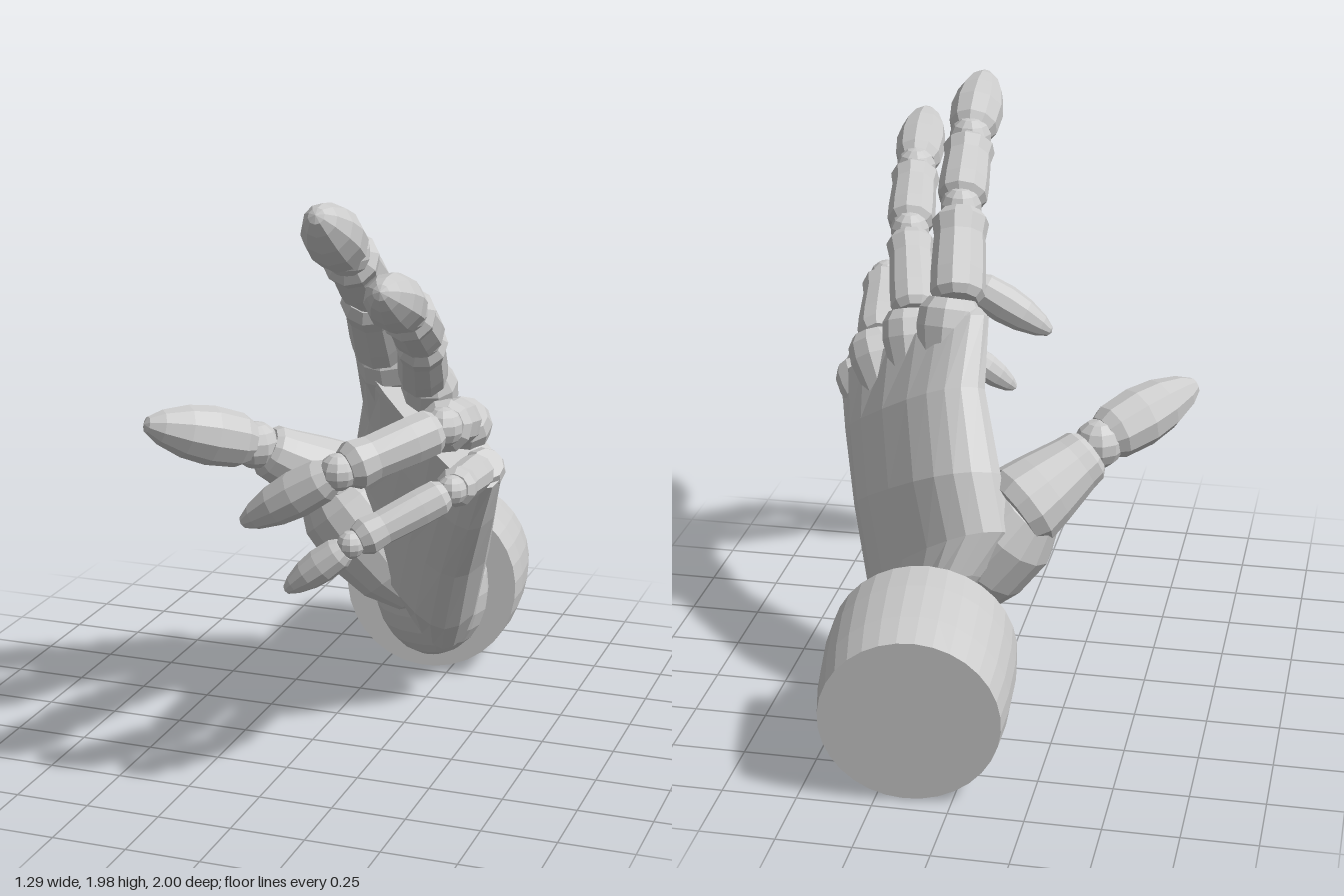
import * as THREE from 'three';

const material = new THREE.MeshStandardMaterial({ color: 0xcccccc, flatShading: true });
const vec = (p) => new THREE.Vector3(...p);

function addMesh(parent, name, geometry) {
  const faceted = geometry.index ? geometry.toNonIndexed() : geometry;
  faceted.computeVertexNormals();
  const mesh = new THREE.Mesh(faceted, material);
  mesh.name = name;
  parent.add(mesh);
  return mesh;
}

// Turned solid between two points; profile rows are [fraction of length, radius]
function addTurned(parent, name, from, to, profile, sides = 10, scale = 1) {
  const axis = to.clone().sub(from);
  const length = axis.length();
  const points = profile.map(([t, r]) => new THREE.Vector2(r * scale, t * length));
  const mesh = addMesh(parent, name, new THREE.LatheGeometry(points, sides));
  mesh.position.copy(from);
  mesh.quaternion.setFromUnitVectors(new THREE.Vector3(0, 1, 0), axis.normalize());
  return mesh;
}

function addBall(parent, name, center, rx, ry = rx, rz = rx, sides = 10) {
  const mesh = addMesh(parent, name, new THREE.SphereGeometry(1, sides, Math.ceil(sides * 0.7)));
  mesh.scale.set(rx, ry, rz);
  mesh.position.copy(center);
  return mesh;
}

const BONE = [[0, 0], [0, 0.72], [0.08, 0.95], [0.3, 0.96], [0.72, 0.9], [0.9, 1], [1, 0.74], [1, 0]];
const TIP = [[0, 0], [0, 0.72], [0.1, 0.92], [0.38, 1], [0.62, 0.88], [0.85, 0.58], [0.97, 0.28], [1, 0]];

// Directions across the hand: the palm side faces this way
const PALM_NORMAL = new THREE.Vector3(-0.645, -0.3, 0.7).normalize();

// Closed loft through cross-sections: thumb edge, little-finger edge, back and palm thickness
function palmGeometry(sections, sides = 20) {
  const positions = [];
  const index = [];
  for (const [a, b, back, front] of sections) {
    const mid = vec(a).add(vec(b)).multiplyScalar(0.5);
    const half = vec(b).sub(vec(a)).multiplyScalar(0.5);
    for (let j = 0; j < sides; j++) {
      const angle = (j / sides) * Math.PI * 2;
      const c = Math.cos(angle), s = Math.sin(angle);
      const u = Math.sign(c) * Math.abs(c) ** 0.8;
      const w = Math.sign(s) * Math.abs(s) ** 0.75 * (s < 0 ? back : front);
      positions.push(...mid.clone().addScaledVector(half, u).addScaledVector(PALM_NORMAL, w).toArray());
    }
  }
  const last = sections.length - 1;
  for (let i = 0; i < last; i++) {
    for (let j = 0; j < sides; j++) {
      const k = (j + 1) % sides;
      const a = i * sides + j, b = i * sides + k, c = a + sides, d = b + sides;
      index.push(a, c, b, b, c, d);
    }
  }
  // End caps
  const e = last * sides;
  for (let j = 1; j < sides - 1; j++) {
    index.push(0, j, j + 1, e, e + j + 1, e + j);
  }
  const geometry = new THREE.BufferGeometry();
  geometry.setAttribute('position', new THREE.Float32BufferAttribute(positions, 3));
  geometry.setIndex(index);
  return geometry;
}

// Finger: knuckle, tendon ridge, two bones, a tip and the joints between them
function addFinger(parent, { name, path, radii }) {
  const finger = new THREE.Group();
  finger.name = name;
  parent.add(finger);
  const joints = path.map(vec);

  const knuckle = joints[0].clone().addScaledVector(PALM_NORMAL, -0.025);
  const wristSide = new THREE.Vector3(0.24, 0.6, -0.26);
  const ridgeStart = knuckle.clone().lerp(wristSide, 0.6);
  addTurned(finger, 'knuckleRidge', ridgeStart, knuckle,
    [[0, 0], [0, 0.4], [0.5, 0.75], [0.85, 1.12], [0.98, 1.08], [1.06, 0.8], [1.06, 0]], 10, radii[0]);

  for (let i = 0; i < 3; i++) {
    const dir = joints[i + 1].clone().sub(joints[i]).normalize();
    const from = joints[i].clone().addScaledVector(dir, 0.025);
    const to = joints[i + 1].clone().addScaledVector(dir, i < 2 ? -0.025 : 0);
    const part = i < 2 ? ['upperBone', 'middleBone'][i] : 'fingertip';
    addTurned(finger, part, from, to, i < 2 ? BONE : TIP, 10, radii[i]);
    if (i > 0) addBall(finger, 'joint', joints[i], radii[i] * 0.8);
  }
}

export function createModel() {
  const hand = new THREE.Group();
  hand.name = 'hand';

  // Sleeve cuff and wrist
  addTurned(hand, 'cuff', vec([0.13, 0.3, -0.965]), vec([0.18, 0.335, -0.52]),
    [[0, 0], [0, 0.295], [0.3, 0.312], [0.7, 0.32], [1, 0.314], [1, 0]], 32);
  addBall(hand, 'wrist', vec([0.195, 0.34, -0.49]), 0.21, 0.26, 0.19, 16);

  // Palm
  addMesh(hand, 'palm', palmGeometry([
    [[0.07, 0.52, -0.5], [0.32, 0.21, -0.3], 0.06, 0.05],
    [[0.02, 0.6, -0.49], [0.36, 0.22, -0.22], 0.13, 0.1],
    [[-0.07, 0.74, -0.43], [0.41, 0.34, -0.12], 0.17, 0.13],
    [[-0.02, 0.92, -0.36], [0.48, 0.58, 0.01], 0.18, 0.12],
    [[0.06, 1.15, -0.19], [0.56, 0.8, 0.15], 0.15, 0.1],
    [[0.07, 1.35, -0.03], [0.62, 0.97, 0.23], 0.11, 0.08],
    [[0.1, 1.36, 0.02], [0.6, 0.97, 0.25], 0.08, 0.06],
  ]));

  // Four fingers
  const fingers = [
    { name: 'indexFinger', radii: [0.1, 0.092, 0.095],
      path: [[0.18, 1.34, 0.05], [0.22, 1.615, 0.315], [0.24, 1.79, 0.58], [0.24, 1.955, 0.86]] },
    { name: 'middleFinger', radii: [0.086, 0.088, 0.09],
      path: [[0.34, 1.27, 0.1], [0.42, 1.495, 0.385], [0.46, 1.645, 0.67], [0.49, 1.77, 1.0]] },
    { name: 'ringFinger', radii: [0.086, 0.08, 0.074],
      path: [[0.48, 1.16, 0.15], [0.55, 1.255, 0.56], [0.3, 1.16, 0.83], [-0.01, 0.97, 0.86]] },
    { name: 'littleFinger', radii: [0.066, 0.062, 0.056],
      path: [[0.57, 1.02, 0.21], [0.575, 1.045, 0.54], [0.32, 0.91, 0.77], [0.12, 0.75, 0.82]] },
  ];
  fingers.forEach((finger) => addFinger(hand, finger));

  // Thumb: fleshy mound, one bone, joint and tip
  const thumb = new THREE.Group();
  thumb.name = 'thumb';
  hand.add(thumb);
  addTurned(thumb, 'thumbMound', vec([0.22, 0.34, -0.27]), vec([-0.17, 0.8, -0.27]),
    [[0, 0], [0.06, 0.07], [0.25, 0.14], [0.5, 0.175], [0.75, 0.17], [0.92, 0.12], [1, 0]], 14);
  addTurned(thumb, 'thumbBone', vec([-0.08, 0.75, -0.3]), vec([-0.31, 0.915, -0.115]),
    [[0, 0], [0, 0.13], [0.15, 0.15], [0.4, 0.135], [0.8, 0.105], [0.94, 0.098], [1, 0.08], [1, 0]], 12);
  addBall(thumb, 'joint', vec([-0.335, 0.935, -0.085]), 0.085);
  addTurned(thumb, 'thumbTip', vec([-0.35, 0.95, -0.065]), vec([-0.63, 1.06, 0.21]), TIP, 10, 0.105);

  return hand;
}
